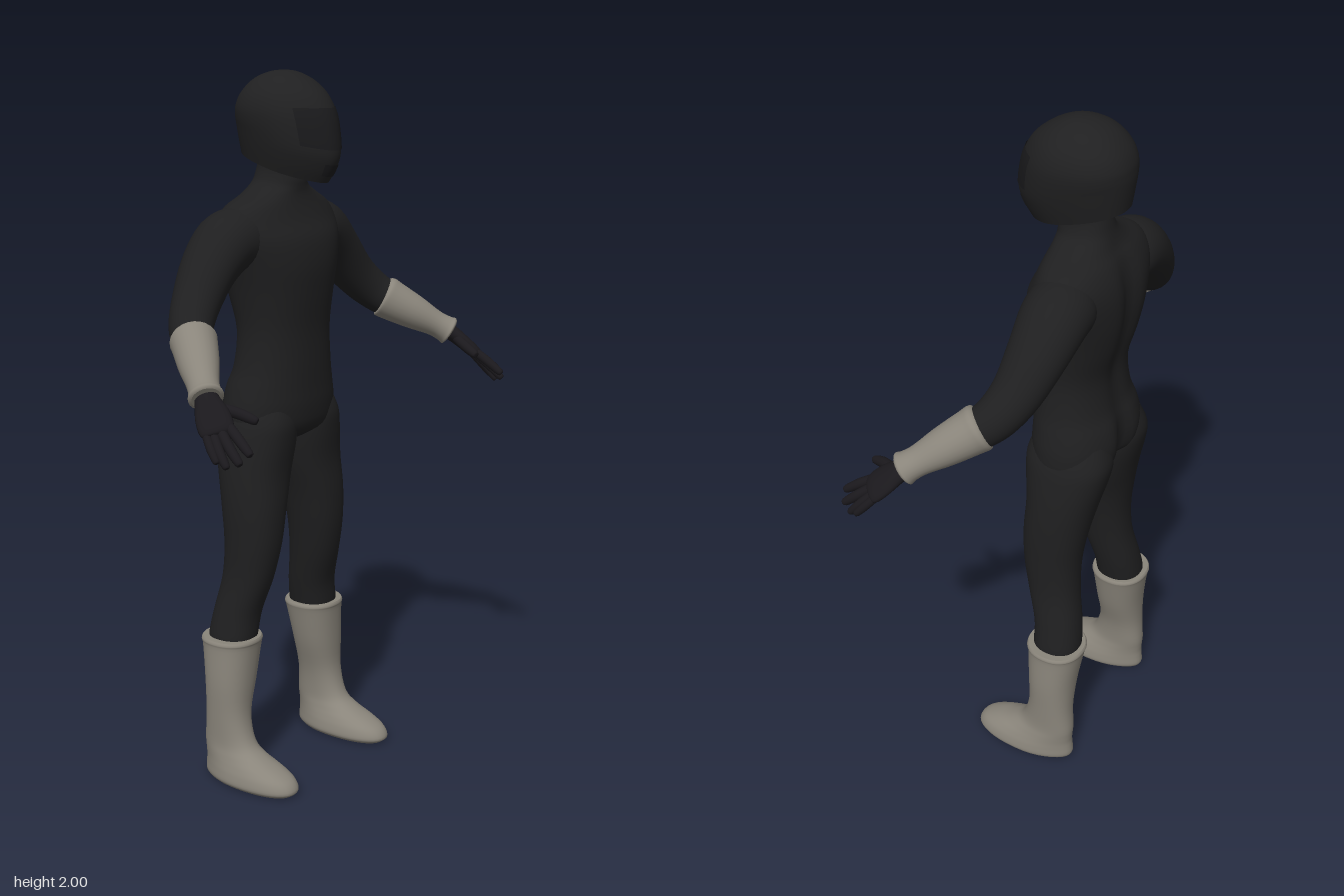
import * as THREE from 'three';

const mat = (name, hex, extra = {}) =>
  Object.assign(new THREE.MeshStandardMaterial({ color: hex, ...extra }), { name });

// Adds in-between rows to a table of section values (Catmull-Rom per column)
function smooth(rows, n) {
  const out = [];
  const at = i => rows[Math.min(rows.length - 1, Math.max(0, i))];
  for (let i = 0; i < rows.length - 1; i++) {
    for (let k = 0; k < n; k++) {
      const t = k / n;
      out.push(at(i).map((b, c) => {
        const a = at(i - 1)[c], d = at(i + 1)[c], e = at(i + 2)[c];
        return b + 0.5 * t * (d - a + t * (2 * a - 5 * b + 4 * d - e + t * (3 * (b - d) + e - a)));
      }));
    }
  }
  out.push(rows[rows.length - 1]);
  return out;
}

// Skins rings of points; closed skins wrap round and get flat end caps
function skin(rings, closed = true) {
  const n = rings[0].length, pos = rings.flat().flatMap(p => p.toArray()), idx = [];
  for (let i = 0; i < rings.length - 1; i++) {
    for (let j = 0; j < (closed ? n : n - 1); j++) {
      const k = (j + 1) % n, a = i * n + j, b = i * n + k;
      idx.push(a, a + n, b, b, a + n, b + n);
    }
  }
  if (closed) for (const end of [0, rings.length - 1]) {
    const base = pos.length / 3, ring = rings[end];
    const mid = ring.reduce((s, p) => s.add(p), new THREE.Vector3()).divideScalar(n);
    [...ring, mid].forEach(p => pos.push(p.x, p.y, p.z));
    for (let j = 0; j < n; j++) {
      const a = base + j, b = base + (j + 1) % n;
      idx.push(...(end ? [a, base + n, b] : [a, b, base + n]));
    }
  }
  const g = new THREE.BufferGeometry();
  g.setAttribute('position', new THREE.Float32BufferAttribute(pos, 3));
  g.setIndex(idx);
  g.computeVertexNormals();
  return g;
}

// Level section: [y, centre x, half width, front z, back z, slope, back groove, taper]
// Taper above 0 narrows the front, below 0 narrows the back.
function section([y, cx, rx, zf, zb, slope = 0, groove = 0, taper = 0], pivot, t0, t1, n, closed, grow = 0) {
  const pw = v => Math.sign(v) * Math.abs(v) ** 0.9;
  const ring = [];
  for (let j = 0; j < n; j++) {
    const t = t0 + (t1 - t0) * j / (closed ? n : n - 1), s = Math.sin(t);
    const narrow = s * taper > 0 ? 1 - Math.abs(taper) * s * s : 1;
    const x = (rx + grow) * pw(Math.cos(t)) * narrow;
    let z = (zf + zb) / 2 + ((zf - zb) / 2 + grow) * pw(s);
    if (s < 0) z += groove * Math.exp(-((x / 0.035) ** 2));
    ring.push(new THREE.Vector3(cx + x, y + slope * (z - pivot), z));
  }
  return ring;
}
const body = (rows, n = 40, steps = 4) =>
  skin(smooth(rows, steps).map(r => section(r, -0.1, 0, Math.PI * 2, n, true)));

// Limb along a path: rows are [x, y, z, radius along ref, radius across]
function limb(rows, ref, n = 20, steps = 4) {
  const r = smooth(rows, steps), p = r.map(v => new THREE.Vector3(v[0], v[1], v[2]));
  return skin(r.map((v, i) => {
    const t = p[Math.min(i + 1, p.length - 1)].clone().sub(p[Math.max(i - 1, 0)]).normalize();
    const s = ref.clone().addScaledVector(t, -ref.dot(t)).normalize();
    const u = s.clone().cross(t);
    return Array.from({ length: n }, (_, j) => {
      const a = j / n * Math.PI * 2;
      return p[i].clone().addScaledVector(s, v[3] * Math.cos(a)).addScaledVector(u, v[4] * Math.sin(a));
    });
  }));
}

function mirrored(geo) {
  const g = geo.clone().scale(-1, 1, 1), a = g.index.array;
  for (let i = 0; i < a.length; i += 3) [a[i], a[i + 1]] = [a[i + 1], a[i]];
  g.computeVertexNormals();
  return g;
}

export function createModel() {
  const model = new THREE.Group();
  model.name = 'suitedFigure';
  const suit = mat('suitBlack', 0x1f1f20), glove = mat('gloveBlack', 0x1b191d);
  const shell = mat('helmetBlack', 0x202021), grey = mat('warmGrey', 0x8a857b);
  const visorMat = mat('visorBlack', 0x1a1a1c, { side: THREE.DoubleSide });

  const add = (name, geo, material) => {
    const m = new THREE.Mesh(geo, material);
    m.name = name;
    model.add(m);
  };
  const pair = (name, geo, material) => {
    add('left' + name, geo, material);
    add('right' + name, mirrored(geo), material);
  };

  // Torso with spine groove and slanted collar
  add('torso', body([
    [0.985, 0, 0.1, -0.06, -0.19, 0, 0.01], [1.02, 0, 0.178, -0.012, -0.24, 0, 0.03],
    [1.08, 0, 0.186, 0, -0.255, 0, 0.03], [1.14, 0, 0.174, 0, -0.246, 0, 0.02],
    [1.2, 0, 0.158, 0, -0.225, 0, 0.01], [1.3, 0, 0.15, 0, -0.217, 0, 0.012],
    [1.4, 0, 0.164, 0.01, -0.242, 0, 0.018], [1.48, 0, 0.184, 0.015, -0.256, 0, 0.02],
    [1.55, 0, 0.206, 0.005, -0.256, 0, 0.02], [1.6, 0, 0.212, -0.02, -0.245, 0, 0.016],
    [1.64, 0, 0.185, -0.036, -0.226, 0, 0.008], [1.67, 0, 0.125, -0.044, -0.205, 0, 0.003],
    [1.695, 0, 0.08, -0.045, -0.19, -0.1, 0], [1.72, 0, 0.066, -0.045, -0.182, -0.2, 0],
    [1.745, 0, 0.062, -0.05, -0.175, -0.25, 0],
  ], 64), suit);
  add('neck', body([
    [1.7, 0, 0.055, -0.053, -0.168], [1.75, 0, 0.056, -0.05, -0.17], [1.82, 0, 0.056, -0.05, -0.17],
  ]), grey);

  // Helmet with slanted rim and narrow chin
  const helmetRows = smooth([
    [1.745, 0, 0.09, 0.04, -0.232, -0.29, 0, 0.4], [1.785, 0, 0.102, 0.062, -0.238, -0.29, 0, 0.4],
    [1.825, 0, 0.112, 0.076, -0.242, -0.25, 0, 0.38], [1.865, 0, 0.119, 0.068, -0.242, -0.12, 0, 0.34],
    [1.9, 0, 0.119, 0.053, -0.239, -0.04, 0, 0.3], [1.935, 0, 0.108, 0.028, -0.226, 0, 0, 0.25],
    [1.965, 0, 0.086, -0.006, -0.2, 0, 0, 0.15], [1.985, 0, 0.06, -0.04, -0.17, 0, 0, 0.1],
    [1.997, 0, 0.028, -0.072, -0.135, 0, 0, 0], [2, 0, 0.002, -0.1, -0.104, 0, 0, 0],
  ], 5);
  add('helmet', skin(helmetRows.map(r => section(r, -0.1, 0, Math.PI * 2, 48, true))), shell);
  const plate = (from, to, half) => skin(helmetRows.slice(from, to).map(r =>
    section(r, -0.1, Math.PI / 2 - half, Math.PI / 2 + half, 24, false, 0.002)), false);
  add('visor', plate(11, 22, 0.95), visorMat);
  add('chinVent', plate(3, 8, 0.4), visorMat);

  // Legs
  pair('Leg', body([
    [0.39, 0.19, 0.062, -0.085, -0.215], [0.43, 0.187, 0.066, -0.08, -0.218],
    [0.5, 0.173, 0.066, -0.074, -0.21], [0.6, 0.155, 0.066, -0.044, -0.193],
    [0.7, 0.145, 0.074, -0.025, -0.19], [0.8, 0.135, 0.085, -0.02, -0.202],
    [0.9, 0.117, 0.098, -0.022, -0.222], [0.99, 0.103, 0.1, -0.012, -0.245],
    [1.05, 0.097, 0.092, -0.01, -0.253], [1.11, 0.09, 0.07, -0.03, -0.235],
  ]), suit);

  // Boots
  pair('Boot', body([
    [0, 0.222, 0.06, 0.085, -0.212, 0, 0, -0.25], [0.014, 0.222, 0.073, 0.1, -0.22, 0, 0, -0.25],
    [0.04, 0.222, 0.07, 0.085, -0.218, 0, 0, -0.22], [0.062, 0.222, 0.063, 0.045, -0.216, 0, 0, -0.15],
    [0.085, 0.222, 0.056, -0.01, -0.217, 0, 0, -0.1], [0.12, 0.221, 0.051, -0.055, -0.218, 0, 0, 0],
    [0.2, 0.218, 0.056, -0.078, -0.212, 0, 0, 0], [0.3, 0.206, 0.072, -0.075, -0.216, 0, 0, 0],
    [0.4, 0.194, 0.081, -0.068, -0.23, 0, 0, 0], [0.418, 0.193, 0.084, -0.064, -0.235, 0, 0, 0],
    [0.427, 0.193, 0.08, -0.067, -0.231, 0, 0, 0],
  ]), grey);

  // Arms: shoulder to elbow, then flared forearm cuffs
  const fore = new THREE.Vector3(0, 0, 1);
  pair('Arm', limb([
    [0.1, 1.565, -0.14, 0.07, 0.07], [0.15, 1.56, -0.14, 0.09, 0.084],
    [0.21, 1.545, -0.143, 0.09, 0.084], [0.28, 1.488, -0.14, 0.08, 0.073],
    [0.35, 1.41, -0.124, 0.067, 0.063], [0.405, 1.355, -0.095, 0.059, 0.058],
    [0.445, 1.315, -0.05, 0.052, 0.052], [0.47, 1.292, -0.02, 0.045, 0.045],
  ], fore, 28), suit);
  const handAxis = new THREE.Vector3(0.7, -0.3, -0.6);
  pair('ForearmCuff', limb([
    [0.427, 1.333, -0.07, 0.05, 0.05], [0.432, 1.329, -0.064, 0.062, 0.062],
    [0.447, 1.315, -0.045, 0.06, 0.06], [0.49, 1.28, 0.005, 0.053, 0.051],
    [0.53, 1.247, 0.052, 0.042, 0.039], [0.55, 1.23, 0.076, 0.042, 0.04],
    [0.558, 1.223, 0.086, 0.046, 0.043], [0.561, 1.22, 0.09, 0.038, 0.036],
  ], handAxis, 24), grey);

  // Gloved hands
  pair('Palm', limb([
    [0.54, 1.238, 0.065, 0.028, 0.024], [0.562, 1.217, 0.093, 0.032, 0.023],
    [0.58, 1.19, 0.123, 0.043, 0.02], [0.596, 1.163, 0.15, 0.045, 0.018],
    [0.603, 1.15, 0.163, 0.036, 0.012], [0.605, 1.147, 0.166, 0.004, 0.002],
  ], handAxis), glove);
  const finger = (name, a, b, c, r) => pair(name, limb([
    [...a, r, r], [...b, r * 1.05, r * 1.05], [...c, r * 0.8, r * 0.8],
    [...c.map((v, i) => v + (v - b[i]) * 0.12), r * 0.15, r * 0.15],
  ], handAxis, 12, 4), glove);
  finger('Thumb', [0.557, 1.203, 0.115], [0.53, 1.188, 0.165], [0.514, 1.172, 0.208], 0.014);
  finger('IndexFinger', [0.573, 1.17, 0.165], [0.583, 1.14, 0.21], [0.59, 1.11, 0.25], 0.013);
  finger('MiddleFinger', [0.59, 1.16, 0.157], [0.608, 1.122, 0.202], [0.615, 1.09, 0.238], 0.013);
  finger('RingFinger', [0.605, 1.152, 0.147], [0.623, 1.112, 0.183], [0.63, 1.08, 0.21], 0.012);
  finger('LittleFinger', [0.617, 1.15, 0.135], [0.631, 1.117, 0.163], [0.638, 1.09, 0.186], 0.011);
  return model;
}
